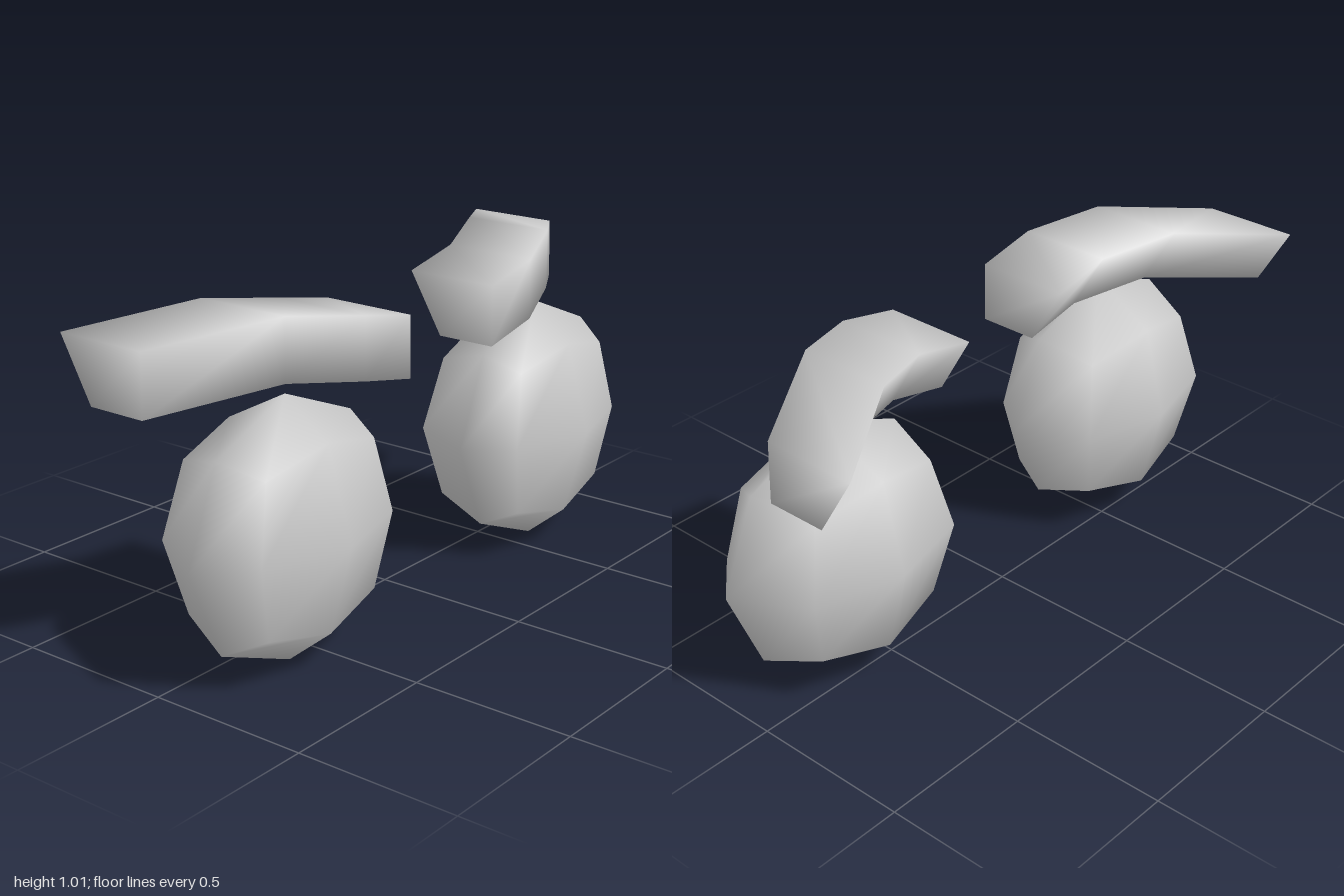
import * as THREE from 'three';
import { mergeVertices } from 'three/addons/utils/BufferGeometryUtils.js';

// Box grid with shared corners, each vertex moved by a rule, smooth normals
function mouldBox(segments, rule) {
  const box = new THREE.BoxGeometry(2, 2, 2, ...segments);
  box.deleteAttribute('normal');
  box.deleteAttribute('uv');
  const geometry = mergeVertices(box);
  const pos = geometry.attributes.position;
  const p = new THREE.Vector3();
  for (let i = 0; i < pos.count; i++) {
    p.fromBufferAttribute(pos, i);
    pos.setXYZ(i, ...rule(p));
  }
  geometry.computeVertexNormals();
  return geometry;
}

// Low-poly ball, flattened in depth and fuller at the back
function eyeGeometry(side) {
  return mouldBox([2, 2, 2], (p) => {
    p.normalize();
    const pole = Math.abs(p.z) > 0.99;
    const depth = p.z > 0 ? (pole ? 0.22 : 0.2) : (pole ? 0.29 : 0.31);
    const centre = Math.abs(p.z) > 0.01 ? 0.592 : 0.605;
    return [side * centre + 0.395 * p.x, 0.4 + 0.395 * p.y, 0.13 + depth * p.z];
  });
}

// Arched bar swept from the inner end to the outer end: [x, top y, front z]
const BROW = [
  [0.2, 0.945, 0.247],
  [0.4, 0.987, 0.247],
  [0.63, 1.02, 0.155],
  [0.96, 0.963, -0.05],
];

function browGeometry(side) {
  return mouldBox([3, 1, 1], (p) => {
    const [x, top, front] = BROW[Math.round((side * p.x + 1) * 1.5)];
    const depth = p.y > 0 ? 0.3 : 0.19; // narrower underneath
    return [
      side * (x + (x > 0.9 && p.y < 0 ? 0.005 : 0)),
      p.y > 0 ? top : top - 0.187,
      p.z > 0 ? front : front - depth,
    ];
  });
}

export function createModel() {
  const model = new THREE.Group();
  model.name = 'eyesAndBrows';
  const grey = new THREE.MeshStandardMaterial({ color: 0xcccccc });
  grey.name = 'light grey';

  for (const [side, label] of [[1, 'left'], [-1, 'right']]) {
    const eye = new THREE.Mesh(eyeGeometry(side), grey);
    eye.name = label + 'Eye';
    const brow = new THREE.Mesh(browGeometry(side), grey);
    brow.name = label + 'Eyebrow';
    model.add(eye, brow);
  }
  return model;
}
